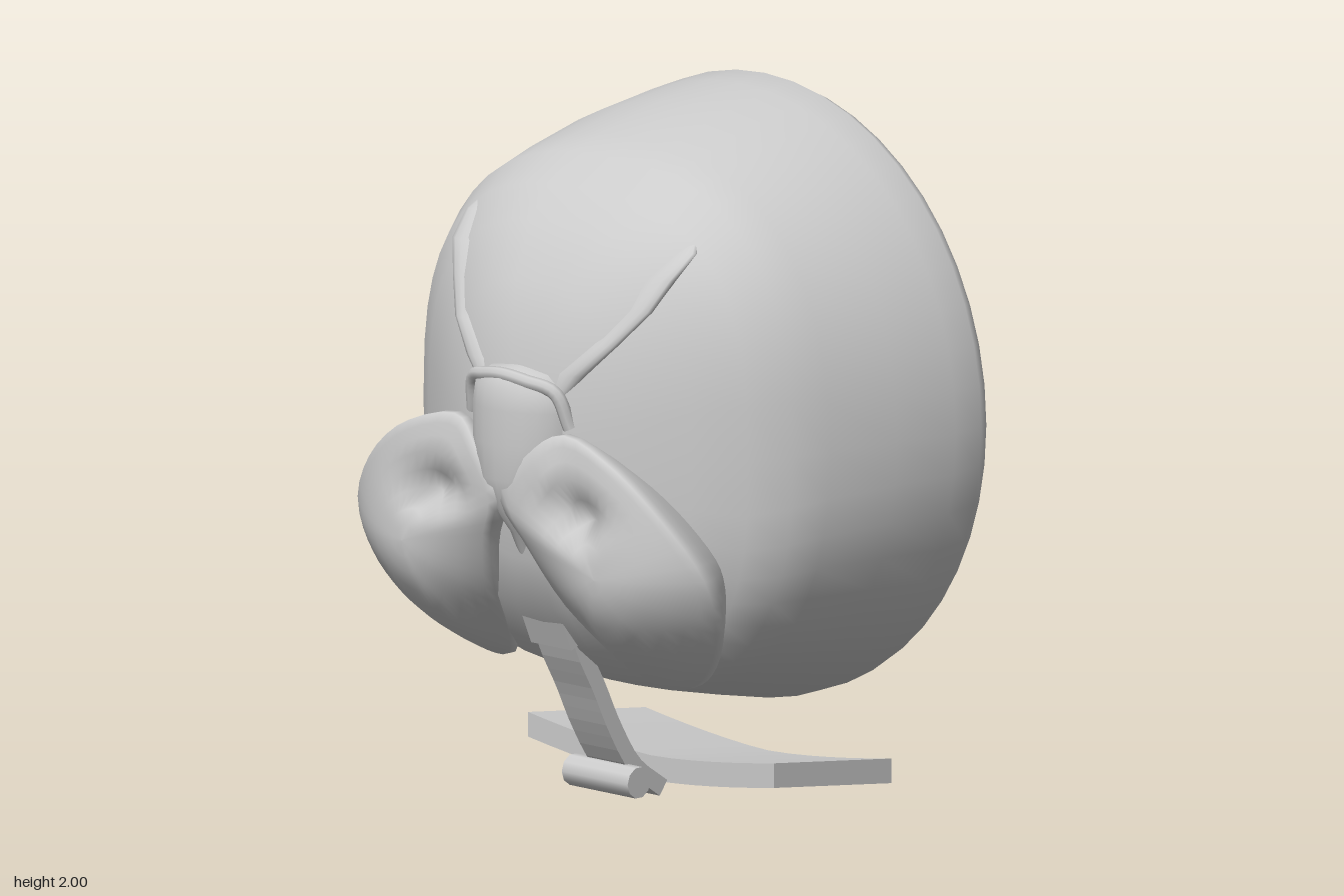
import * as THREE from 'three';

const material = new THREE.MeshStandardMaterial({ color: 0xcccccc, side: THREE.DoubleSide });

// Dome sections: z, top y, bottom y, half width, squareness (2 is an ellipse)
const DOME = [
  [-0.55, 1.96, 0.28, 0.82, 2], [-0.53, 1.985, 0.26, 0.845, 2], [-0.5, 2.0, 0.25, 0.855, 2],
  [-0.4, 1.985, 0.25, 0.855, 2.05], [-0.2, 1.95, 0.29, 0.825, 2.15], [0.0, 1.89, 0.335, 0.76, 2.35],
  [0.1, 1.85, 0.365, 0.715, 2.55], [0.2, 1.775, 0.41, 0.64, 2.75], [0.3, 1.69, 0.49, 0.52, 2.75],
  [0.4, 1.54, 0.61, 0.35, 2.6], [0.45, 1.38, 0.76, 0.22, 2.4], [0.472, 1.22, 0.94, 0.1, 2.2],
  [0.48, 1.08, 1.06, 0.005, 2],
];

// Skin a stack of closed rings of [x, y, z] points
function loft(rings) {
  const n = rings[0].length, index = [];
  for (let i = 0; i < rings.length - 1; i++) {
    for (let j = 0; j < n; j++) {
      const k = (j + 1) % n, a = i * n + j, b = i * n + k, c = b + n, d = a + n;
      index.push(a, b, c, a, c, d);
    }
  }
  const geometry = new THREE.BufferGeometry();
  geometry.setAttribute('position', new THREE.Float32BufferAttribute(rings.flat(2), 3));
  geometry.setIndex(index);
  geometry.computeVertexNormals();
  return geometry;
}

// Level rings stacked upward: each section is [x, y, z, radiusX, radiusZ]
function stack(sections, sides) {
  return loft(sections.map(([x, y, z, rx, rz]) => Array.from({ length: sides }, (_, j) => {
    const a = (j / sides) * Math.PI * 2;
    return [x + rx * Math.cos(a), y, z - rz * Math.sin(a)];
  })));
}

function domeRing([z, top, bottom, w, e], sides = 48) {
  const bend = (v) => Math.sign(v) * Math.abs(v) ** (2 / e);
  return Array.from({ length: sides }, (_, j) => {
    const a = (j / sides) * Math.PI * 2;
    return [w * bend(Math.cos(a)), (top + bottom) / 2 + ((top - bottom) / 2) * bend(Math.sin(a)), z];
  });
}

// Front surface depth of the dome at x, y
function domeZ(x, y) {
  const f = DOME.map(([, t, b, w, e]) => (
    (Math.abs(x / w) ** e + Math.abs((y - (t + b) / 2) / ((t - b) / 2)) ** e) ** (1 / e)));
  for (let i = DOME.length - 1; i > 0; i--) {
    if (f[i] >= 1 && f[i - 1] < 1) {
      return THREE.MathUtils.lerp(DOME[i - 1][0], DOME[i][0], (1 - f[i - 1]) / (f[i] - f[i - 1]));
    }
  }
  return 0.48;
}

// Cheek outline, from beside the nose outward and round
const CHEEK = [
  [0.1, 1.08, 0.52], [0.2, 1.15, 0.49], [0.4, 1.1, 0.5], [0.57, 0.97, 0.47], [0.68, 0.8, 0.4],
  [0.66, 0.65, 0.33], [0.55, 0.5, 0.25], [0.42, 0.42, 0.2], [0.3, 0.41, 0.2], [0.21, 0.5, 0.28],
  [0.14, 0.64, 0.4], [0.07, 0.82, 0.49], [0.01, 0.95, 0.53],
];

function cheekGeometry(side) {
  const curve = new THREE.CatmullRomCurve3(CHEEK.map((p) => new THREE.Vector3(...p)), true);
  const outline = curve.getPoints(48).slice(0, 48);
  if (side > 0) outline.reverse();
  const cx = 0.38, cy = 0.77;
  const ring = (t, centreZ, power, lift) => outline.map((p) => {
    const x = cx + (p.x - cx) * t, y = cy + (p.y - cy) * t;
    let z = THREE.MathUtils.lerp(centreZ, p.z + lift, t ** power);
    // hollow beside the nose
    if (lift > 0) z -= 0.08 * Math.exp(-(((x - 0.28) / 0.1) ** 2) - ((y - 0.93) / 0.05) ** 2);
    return [x * side, y, z];
  });
  const back = [0.001, 0.4, 0.7, 0.88, 1].map((t) => ring(t, 0.1, 1.6, -0.015));
  const front = [1, 0.92, 0.82, 0.7, 0.55, 0.4, 0.25, 0.12, 0.001].map((t) => ring(t, 0.545, 2.2, 0.015));
  return loft([...back, ...front]);
}

function postGeometry() {
  const centre = new THREE.CatmullRomCurve3([
    [0.34, 0.66], [0.29, 0.5], [0.22, 0.37], [0.16, 0.25], [0.08, 0.13], [-0.03, 0.05],
  ].map(([z, y]) => new THREE.Vector3(z, y, 0)));
  const pts = centre.getPoints(16), left = [], right = [];
  pts.forEach((p, i) => {
    const t = centre.getTangent(i / 16);
    left.push(new THREE.Vector2(p.x - t.y * 0.025, p.y + t.x * 0.025));
    right.unshift(new THREE.Vector2(p.x + t.y * 0.025, p.y - t.x * 0.025));
  });
  const geometry = new THREE.ExtrudeGeometry(new THREE.Shape([...left, ...right]), { depth: 0.15, bevelEnabled: false });
  return geometry.translate(0, 0, -0.075).rotateY(-Math.PI / 2);
}

function plateGeometry() {
  const geometry = new THREE.BoxGeometry(0.97, 0.07, 0.46, 12, 1, 4);
  const p = geometry.attributes.position;
  for (let i = 0; i < p.count; i++) {
    const x = p.getX(i), z = p.getZ(i);
    // bend the ends up and tip the back edge down
    p.setY(i, p.getY(i) + 0.065 + 0.05 * Math.pow(Math.abs(x) / 0.485, 1.5) + (z * 0.055) / 0.46);
  }
  geometry.translate(0, 0, -0.285).computeVertexNormals();
  return geometry;
}

export function createModel() {
  const model = new THREE.Group();
  const add = (name, geometry) => {
    const mesh = new THREE.Mesh(geometry, material);
    mesh.name = name;
    model.add(mesh);
    return mesh;
  };

  // Head dome and its flat back
  add('dome', loft(DOME.map((s) => domeRing(s))));
  const [z, top, bottom, w] = DOME[0];
  const back = add('backDisc', new THREE.CircleGeometry(1, 48));
  back.scale.set(w, (top - bottom) / 2, 1);
  back.position.set(0, (top + bottom) / 2, z);
  back.rotation.y = Math.PI;

  // Nose, broad where it runs into the cheeks, and the arched bridge above it
  add('nose', stack([
    [0, 0.7, 0.4, 0.01, 0.02], [0, 0.84, 0.41, 0.05, 0.07], [0, 0.92, 0.41, 0.1, 0.125],
    [0, 1.0, 0.41, 0.17, 0.145], [0, 1.1, 0.41, 0.18, 0.15], [0, 1.2, 0.41, 0.18, 0.15],
    [0, 1.26, 0.41, 0.17, 0.145], [0, 1.3, 0.41, 0.12, 0.12], [0, 1.32, 0.41, 0.005, 0.01],
  ], 24));
  add('noseBridge', new THREE.TubeGeometry(new THREE.CatmullRomCurve3([
    [-0.19, 1.16, 0.45], [-0.16, 1.26, 0.48], [-0.08, 1.285, 0.51], [0, 1.295, 0.52],
    [0.08, 1.285, 0.51], [0.16, 1.26, 0.48], [0.19, 1.16, 0.45],
  ].map((p) => new THREE.Vector3(...p))), 32, 0.02, 8));

  for (const side of [1, -1]) {
    const name = side > 0 ? 'left' : 'right';
    add(name + 'Cheek', cheekGeometry(side));
    // Low brow ridge lying on the dome
    add(name + 'Brow', stack([
      [0.14, 1.24, 0.03], [0.18, 1.31, 0.05], [0.27, 1.4, 0.045], [0.34, 1.5, 0.05],
      [0.38, 1.59, 0.055], [0.41, 1.66, 0.04], [0.42, 1.69, 0.003],
    ].map(([x, y, r]) => [x * side, y, domeZ(x, y) - 0.01, r, r * 0.5]), 12));
  }

  // Chin post with its collar and foot roller
  add('chinPost', postGeometry());
  const collar = add('postCollar', new THREE.BoxGeometry(0.16, 0.09, 0.07));
  collar.position.set(0, 0.55, 0.32);
  collar.rotation.x = 0.4;
  const roller = add('footRoller', new THREE.CylinderGeometry(0.045, 0.045, 0.26, 10));
  roller.rotation.z = Math.PI / 2;
  roller.position.set(0, 0.095, 0.12);

  // Curved base plate
  add('basePlate', plateGeometry());
  return model;
}
